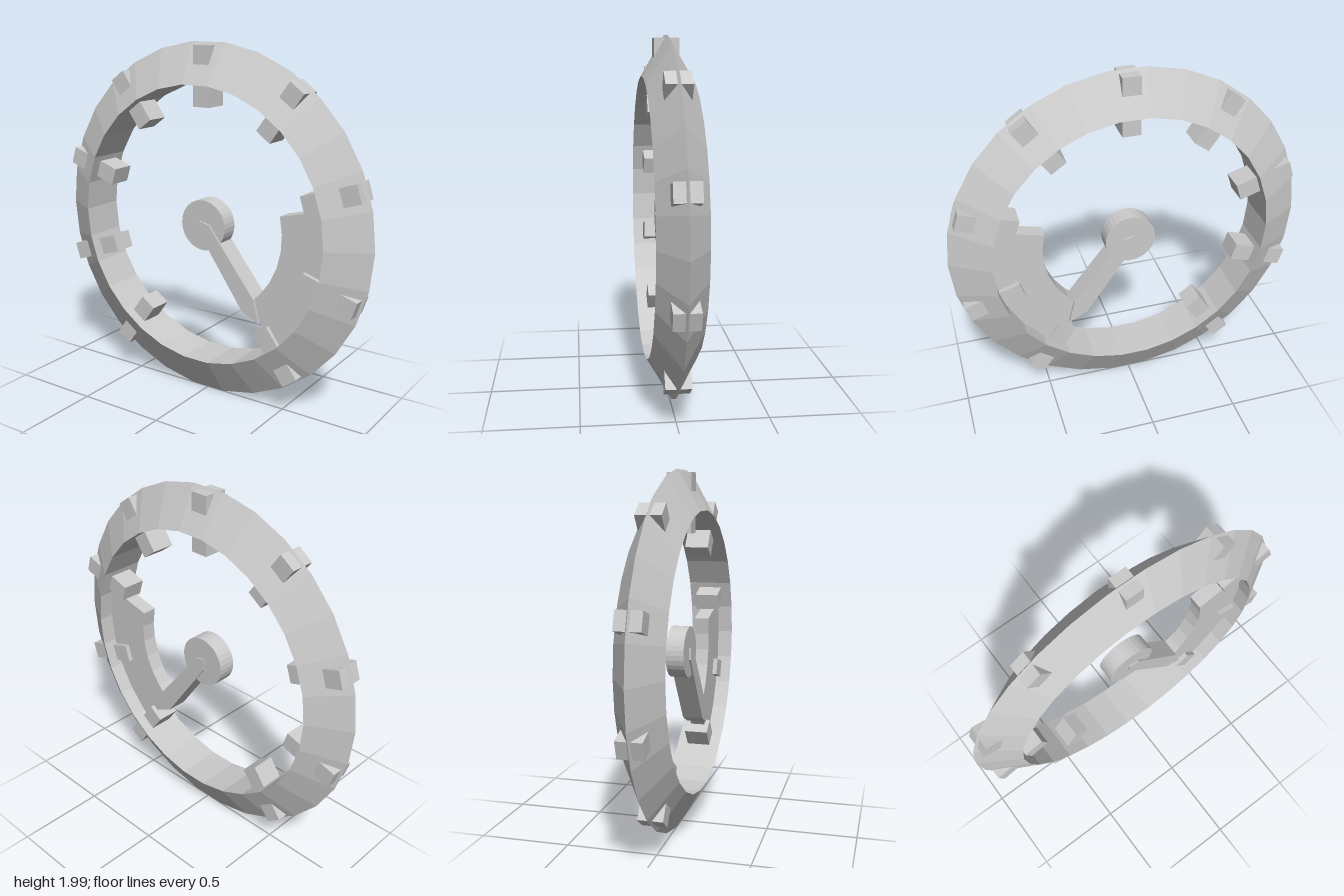
import * as THREE from 'three';

const material = new THREE.MeshStandardMaterial({ color: 0xcccccc, flatShading: true });
const CENTER_Y = Math.cos(Math.PI / 30); // the ring rests on a flat facet
const rad = THREE.MathUtils.degToRad;

function add(parent, name, geometry) {
  const mesh = new THREE.Mesh(geometry, material);
  mesh.name = name;
  parent.add(mesh);
  return mesh;
}

// Flat plate of given thickness, centred on z = 0
function plate(points, depth) {
  const shape = new THREE.Shape(points);
  const geometry = new THREE.ExtrudeGeometry(shape, { depth, bevelEnabled: false });
  return geometry.translate(0, 0, -depth / 2);
}

export function createModel() {
  const model = new THREE.Group();
  model.name = 'gauge';
  const dial = new THREE.Group();
  dial.name = 'dial';
  dial.position.y = CENTER_Y;
  model.add(dial);

  // Rim with a triangular section, sharp edge outward
  const section = [[0.78, -0.13], [1, 0], [0.78, 0.13], [0.78, -0.13]]
    .map(([r, y]) => new THREE.Vector2(r, y));
  add(dial, 'rim', new THREE.LatheGeometry(section, 30, rad(6)).rotateX(Math.PI / 2));

  // Tick blocks passing through the rim, none at the bottom
  for (let i = 0; i < 9; i++) {
    const tick = new THREE.BoxGeometry(0.325, 0.1, 0.137);
    tick.translate(0.8175, 0, 0).rotateZ(rad(-54 + 36 * i));
    add(dial, 'tick' + (i + 1), tick);
  }

  // Curved zone plate on the right of the dial
  const arc = [];
  const steps = 6, start = rad(-53), end = rad(14);
  for (let i = 0; i <= steps; i++) {
    const a = start + (end - start) * i / steps;
    arc.push(a);
  }
  const polar = (r) => (a) => new THREE.Vector2(r * Math.cos(a), r * Math.sin(a));
  const zone = [...arc.map(polar(0.84)), ...arc.slice().reverse().map(polar(0.496))];
  add(dial, 'zonePlate', plate(zone, 0.085));

  // Hub disc
  add(dial, 'hub', new THREE.CylinderGeometry(0.143, 0.143, 0.1, 32).rotateX(Math.PI / 2));

  // Pointed needle, slightly thicker than the hub
  const needle = [[-0.02, 0.025], [-0.02, -0.043], [0.267, -0.45], [0.369, -0.498], [0.337, -0.364], [0.043, 0.01]]
    .map(([x, y]) => new THREE.Vector2(x, y));
  add(dial, 'needle', plate(needle, 0.12));

  return model;
}
